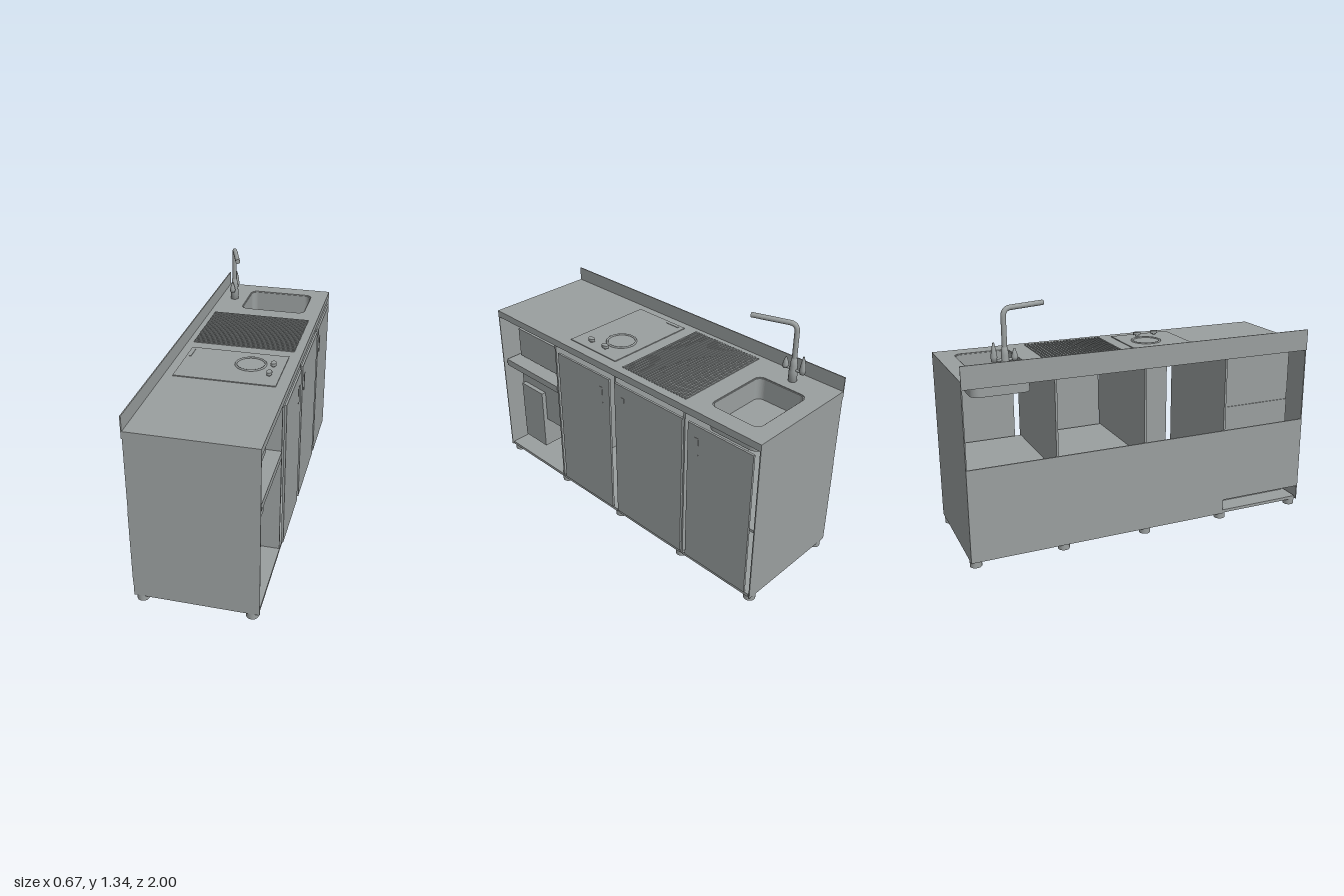
import * as THREE from 'three';

const steel = new THREE.MeshStandardMaterial({ color: 0x9a9f9f });
steel.name = 'greySteel';

export function createModel() {
  const model = new THREE.Group();
  model.name = 'kitchenUnit';

  const add = (name, geometry, x = 0, y = 0, z = 0) => {
    const mesh = new THREE.Mesh(geometry, steel);
    mesh.name = name;
    mesh.position.set(x, y, z);
    model.add(mesh);
    return mesh;
  };
  // Box given by its limits on each axis
  const box = (name, x0, x1, y0, y1, z0, z1) =>
    add(name, new THREE.BoxGeometry(x1 - x0, y1 - y0, z1 - z0),
      (x0 + x1) / 2, (y0 + y1) / 2, (z0 + z1) / 2);
  // Rounded rectangle in plan; shape y is -z
  const roundRect = (path, x0, x1, z0, z1, r) => {
    const a = -z1, b = -z0;
    path.moveTo(x0 + r, a);
    path.lineTo(x1 - r, a);
    path.absarc(x1 - r, a + r, r, -Math.PI / 2, 0);
    path.lineTo(x1, b - r);
    path.absarc(x1 - r, b - r, r, 0, Math.PI / 2);
    path.lineTo(x0 + r, b);
    path.absarc(x0 + r, b - r, r, Math.PI / 2, Math.PI);
    path.lineTo(x0, a + r);
    path.absarc(x0 + r, a + r, r, Math.PI, Math.PI * 1.5);
    return path;
  };
  const slab = (name, shape, y, height) => {
    const g = new THREE.ExtrudeGeometry(shape, { depth: height, bevelEnabled: false, curveSegments: 8 });
    g.rotateX(-Math.PI / 2);
    return add(name, g, 0, y, 0);
  };

  // Worktop with sink opening, and the basin below it
  const top = new THREE.Shape([[-0.33, -1], [0.327, -1], [0.327, 1], [-0.33, 1]].map(p => new THREE.Vector2(...p)));
  top.holes.push(roundRect(new THREE.Path(), -0.16, 0.23, -0.905, -0.6, 0.04));
  slab('worktop', top, 0.96, 0.04);
  const basin = roundRect(new THREE.Shape(), -0.168, 0.238, -0.913, -0.592, 0.048);
  basin.holes.push(roundRect(new THREE.Path(), -0.155, 0.225, -0.9, -0.605, 0.038));
  slab('sinkWall', basin, 0.87, 0.125);
  slab('sinkBottom', roundRect(new THREE.Shape(), -0.168, 0.238, -0.913, -0.592, 0.048), 0.862, 0.01);
  box('backsplash', -0.335, -0.329, 0.96, 1.08, -1, 1);

  // Carcass: end walls, dividers, floors and back
  for (const s of [-1, 1]) box('endWall', -0.33, 0.327, 0.035, 0.998, s > 0 ? 0.994 : -1, s > 0 ? 1 : -0.994);
  const dividers = [-0.994, -0.517, -0.015, 0.478, 0.994];
  for (const z of dividers.slice(1, 4)) box('divider', -0.325, 0.32, 0.04, 0.96, z - 0.006, z + 0.006);
  for (let i = 0; i < 4; i++)
    box('floorPanel', -0.328, 0.322, 0.037, 0.055, dividers[i] + 0.008, dividers[i + 1] - 0.008);
  for (const i of [0, 1])
    box('innerShelf', -0.325, 0.3, 0.445, 0.46, dividers[i] + 0.006, dividers[i + 1] - 0.006);
  box('backPanel', -0.332, -0.324, 0.035, 0.545, -1, 0.484);
  box('backPanelRaised', -0.332, -0.324, 0.12, 0.545, 0.484, 1);

  // Feet
  for (const x of [-0.293, 0.283])
    for (const z of [-0.968, -0.484, 0, 0.484, 0.968])
      add('foot', new THREE.CylinderGeometry(0.032, 0.032, 0.037, 20), x, 0.0185, z);

  // Doors with flat grips: [z0, z1, grip centre]
  for (const [z0, z1, grip] of [[0.02, 0.44, 0.087], [-0.515, -0.022, -0.083], [-0.965, -0.553, -0.613]]) {
    box('door', 0.321, 0.333, 0.063, 0.925, z0, z1);
    box('doorGrip', 0.332, 0.3345, 0.755, 0.855, grip - 0.012, grip + 0.012);
  }

  // Open bay with shelf and appliances
  box('bayShelf', -0.21, 0.322, 0.64, 0.68, 0.486, 0.965);
  box('bayBackLower', -0.215, -0.205, 0.055, 0.64, 0.484, 0.965);
  box('bayBackUpper', -0.215, -0.205, 0.68, 0.935, 0.484, 0.965);
  box('upperAppliance', -0.205, 0.25, 0.7, 0.882, 0.54, 0.917);
  box('lowerAppliance', -0.205, 0.235, 0.312, 0.625, 0.51, 0.94);
  box('narrowUnit', 0.1, 0.262, 0.122, 0.505, 0.72, 0.915);

  // Hob with ring, knobs and vent
  box('hobPlate', -0.28, 0.265, 0.998, 1.005, 0.04, 0.4);
  box('hobBody', -0.24, 0.23, 0.935, 0.962, 0.08, 0.385);
  box('hobVent', -0.265, -0.253, 1.004, 1.008, 0.07, 0.16);
  add('hobRing', new THREE.TorusGeometry(0.08, 0.006, 8, 48).rotateX(Math.PI / 2), 0.085, 1.006, 0.18);
  for (const z of [0.18, 0.29]) {
    add('knobStem', new THREE.CylinderGeometry(0.008, 0.008, 0.014, 12), 0.208, 1.01, z);
    add('knob', new THREE.CylinderGeometry(0.015, 0.015, 0.015, 20).scale(1, 1, 1.5), 0.208, 1.022, z);
  }

  // Ribbed draining area
  for (let i = 0; i < 24; i++) {
    const z = -0.035 - i * 0.0193;
    box('drainRib', -0.295, 0.28, 0.998, 1.006, z - 0.009, z);
  }

  // Tap
  const tx = -0.24, tz = -0.75;
  const tapBase = [[0, 1], [0.023, 1], [0.023, 1.06], [0.019, 1.062], [0.02, 1.09], [0.015, 1.13], [0, 1.13]];
  add('tapBase', new THREE.LatheGeometry(tapBase.map(p => new THREE.Vector2(...p)), 20), tx, 0, tz);
  const spout = new THREE.CurvePath();
  const v = (x, y, z) => new THREE.Vector3(x, y, z);
  spout.add(new THREE.LineCurve3(v(tx, 1.1, tz), v(tx, 1.28, tz)));
  spout.add(new THREE.QuadraticBezierCurve3(v(tx, 1.28, tz), v(tx, 1.322, tz), v(tx + 0.014, 1.322, tz + 0.04)));
  spout.add(new THREE.LineCurve3(v(tx + 0.014, 1.322, tz + 0.04), v(-0.161, 1.322, -0.52)));
  add('tapSpout', new THREE.TubeGeometry(spout, 48, 0.0135, 14));
  const end = add('tapSpoutEnd', new THREE.CircleGeometry(0.0135, 14), -0.161, 1.322, -0.52);
  end.rotation.y = Math.atan2(0.065, 0.19);

  // Tap handles on a cross bar
  add('tapCrossBar', new THREE.CylinderGeometry(0.007, 0.007, 0.11, 12).rotateX(Math.PI / 2), tx, 1.066, -0.753);
  for (const [z, h] of [[-0.7, 0.06], [-0.806, 0.098]]) {
    const cone = [[0, 0], [0.014, 0], [0.017, h * 0.25], [0.012, h * 0.6], [0.004, h], [0, h]];
    add('tapHandle', new THREE.LatheGeometry(cone.map(p => new THREE.Vector2(...p)), 16), tx, 1.06, z);
  }

  return model;
}
